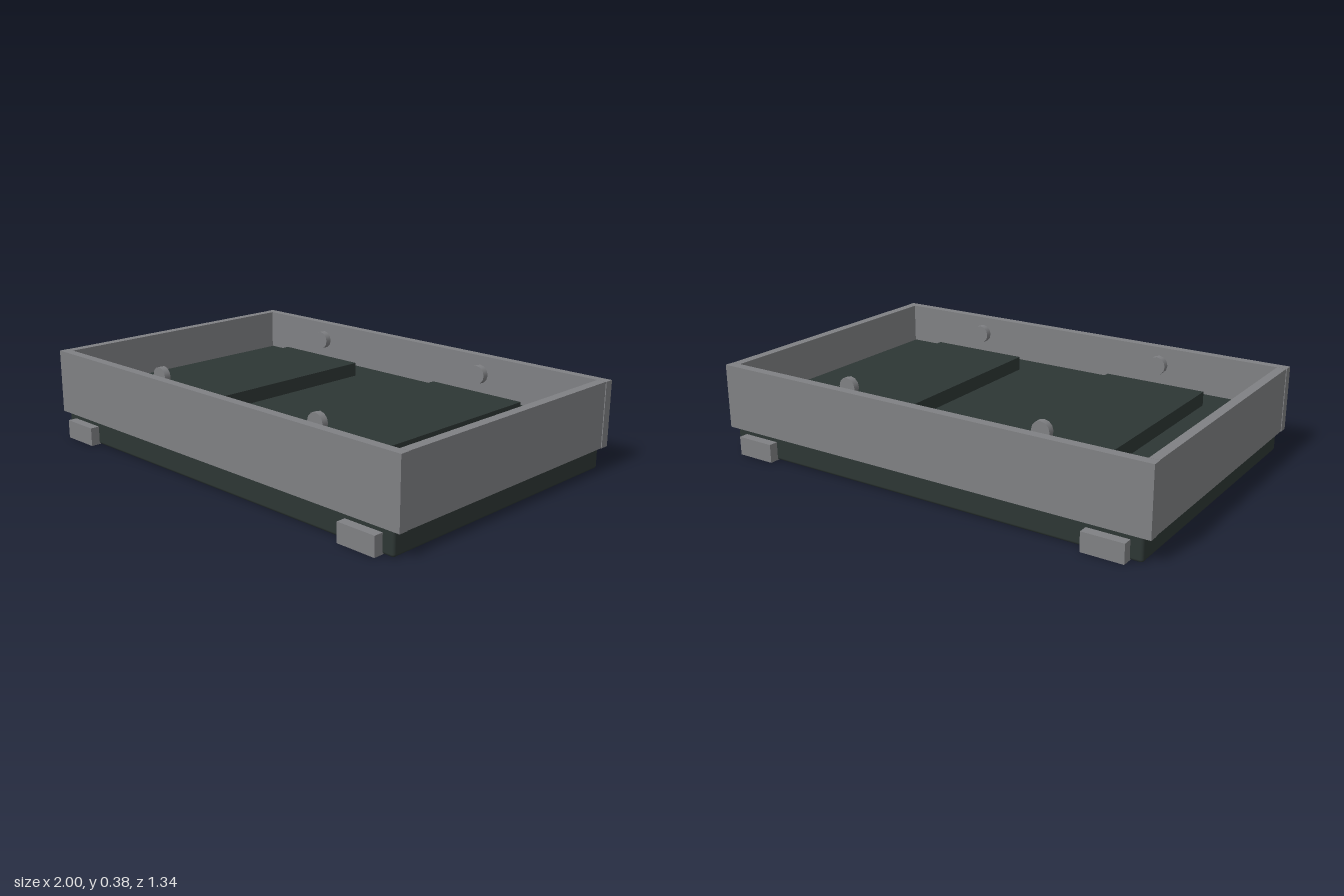
import * as THREE from 'three';
import { RoundedBoxGeometry } from 'three/addons/geometries/RoundedBoxGeometry.js';

export function createModel() {
  const model = new THREE.Group();
  const grey = new THREE.MeshStandardMaterial({ color: 0x7f8083 });
  grey.name = 'grey frame';
  const dark = new THREE.MeshStandardMaterial({ color: 0x2d3634 });
  dark.name = 'dark green grey';

  const add = (name, geometry, material, x, y, z) => {
    const mesh = new THREE.Mesh(geometry, material);
    mesh.name = name;
    mesh.position.set(x, y, z);
    model.add(mesh);
    return mesh;
  };

  // Solid base with softened edges; its top is the floor inside the frame
  add('base', new RoundedBoxGeometry(1.93, 0.2, 1.26, 2, 0.012), dark, 0, 0.1, 0);

  // Shared geometries
  const longWall = new THREE.BoxGeometry(1.995, 0.278, 0.04);
  const shortWall = new THREE.BoxGeometry(0.04, 0.278, 1.196);
  const foot = new THREE.BoxGeometry(0.175, 0.08, 0.05);
  const panel = new THREE.BoxGeometry(0.46, 0.065, 0.92);
  const disc = new THREE.CylinderGeometry(0.04, 0.04, 0.028, 12).rotateX(Math.PI / 2);

  for (const s of [-1, 1]) {
    // Frame walls, the short ones set between the long ones
    add('longWall', longWall, grey, 0, 0.239, s * 0.62);
    add('shortWall', shortWall, grey, s * 0.975, 0.239, 0);

    // Raised panel on the floor
    add('panel', panel, dark, s * 0.463, 0.2285, 0);

    // Round knobs above both ends of each panel
    add('backKnob', disc, grey, s * 0.463, 0.333, -0.472);
    add('frontKnob', disc, grey, s * 0.463, 0.333, 0.485);

    // Feet against the long sides of the base
    for (const t of [-1, 1]) add('foot', foot, grey, s * 0.828, 0.04, t * 0.645);
  }
  return model;
}
